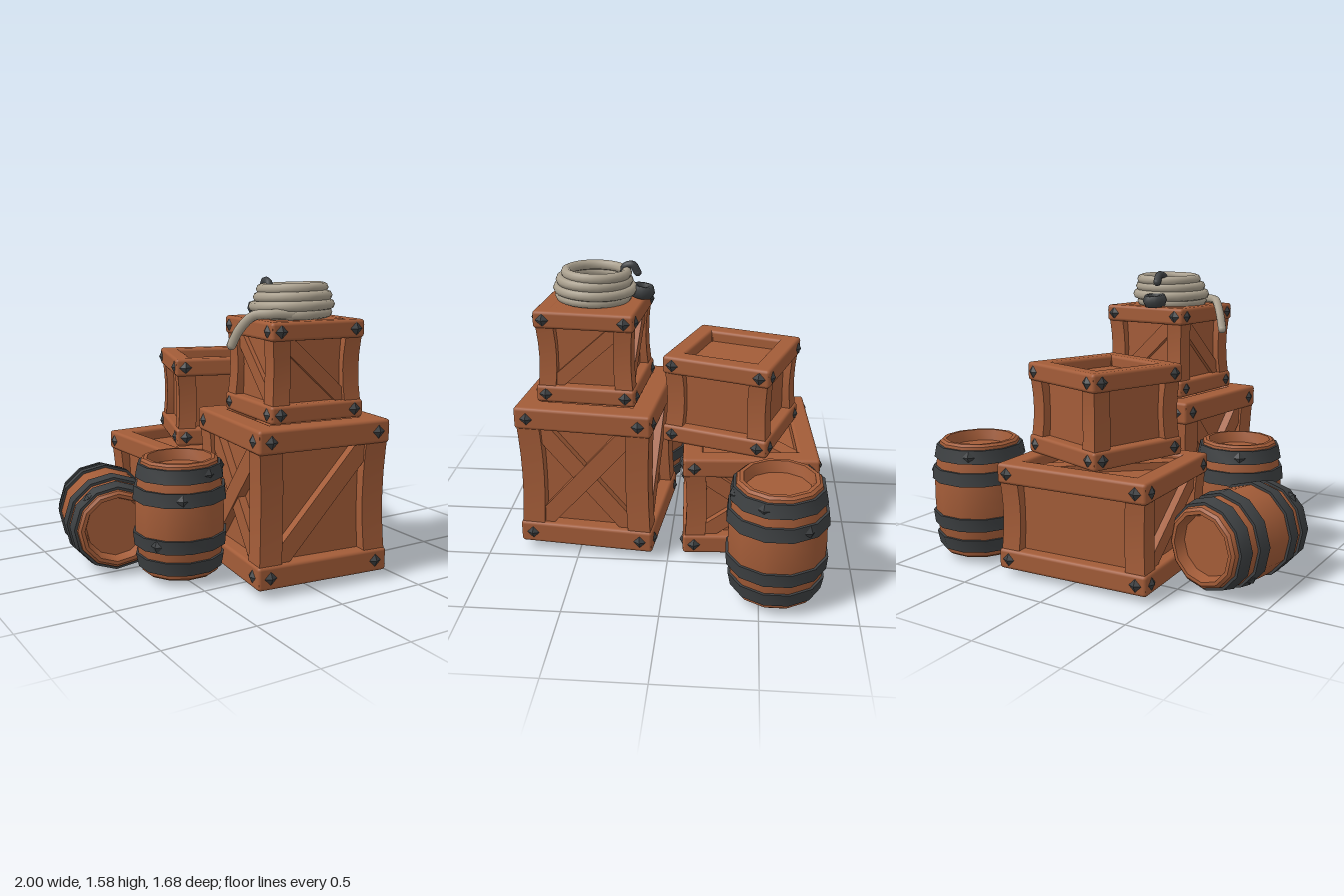
import * as THREE from 'three';
import { toCreasedNormals } from 'three/addons/utils/BufferGeometryUtils.js';
import { RoundedBoxGeometry } from 'three/addons/geometries/RoundedBoxGeometry.js';

function material(name, color) {
  const m = new THREE.MeshStandardMaterial({ color });
  m.name = name;
  return m;
}

export function createModel() {
  const wood = material('wood', 0xa35c38);
  const iron = material('iron', 0x3d4042);
  const hemp = material('hemp', 0xaaa08e);
  const shade = material('coilFloor', 0xa07c60);
  const model = new THREE.Group();
  model.name = 'cargoPile';

  function add(parent, name, geometry, mat, x = 0, y = 0, z = 0) {
    const mesh = new THREE.Mesh(geometry, mat);
    mesh.name = name;
    mesh.position.set(x, y, z);
    parent.add(mesh);
    return mesh;
  }

  // Flat diamond stud whose point faces local +z
  const studGeometry = new THREE.OctahedronGeometry(0.035).scale(1, 1, 0.5);

  // Corner post, drawn in towards the crate at mid height
  function postGeometry(f, h, sx, sz) {
    const g = new THREE.BoxGeometry(f, h, f, 1, 6, 1);
    const p = g.attributes.position;
    for (let i = 0; i < p.count; i++) {
      const t = p.getY(i) / (h / 2);
      const pinch = 0.004 + 0.018 * (1 - t * t);
      p.setX(i, p.getX(i) - sx * pinch);
      p.setZ(i, p.getZ(i) - sz * pinch);
    }
    return toCreasedNormals(g, 0.6);
  }

  // braces: one entry each for front, right, back, left, top, bottom
  function crate(name, [w, h, d], [x, y, z], turn, f, braces) {
    const g = new THREE.Group();
    g.name = name;
    g.position.set(x, y + h / 2, z);
    g.rotation.y = turn;
    model.add(g);
    const recess = f * 0.62;
    add(g, 'panels', new THREE.BoxGeometry(w - 2 * recess, h - 2 * recess, d - 2 * recess), wood);
    for (const s of [-1, 1]) {
      for (const t of [-1, 1]) {
        add(g, 'widthRail', new RoundedBoxGeometry(w, f, f, 2, 0.018), wood, 0, s * (h - f) / 2, t * (d - f) / 2);
        add(g, 'depthRail', new RoundedBoxGeometry(f, f, d - 0.01, 2, 0.018), wood, s * (w - f) / 2, t * (h - f) / 2, 0);
        add(g, 'cornerPost', postGeometry(f, h - 0.06, s, t), wood, s * (w - f) / 2, 0, t * (d - f) / 2);
      }
    }
    const faces = [
      [w, h, d, 0, 0], [d, h, w, 0, Math.PI / 2], [w, h, d, 0, Math.PI],
      [d, h, w, 0, -Math.PI / 2], [w, d, h, -Math.PI / 2, 0], [w, d, h, Math.PI / 2, 0],
    ];
    faces.forEach(([fw, fh, depth, rx, ry], i) => {
      const face = new THREE.Group();
      face.name = 'crateFace';
      face.rotation.set(rx, ry, 0);
      g.add(face);
      // Diagonal braces inside the frame
      const ow = fw - 2 * f, oh = fh - 2 * f;
      for (const mark of braces[i]) {
        const brace = add(face, 'brace', new THREE.BoxGeometry(Math.hypot(ow, oh), f * 0.8, recess - 0.02),
          wood, 0, 0, depth / 2 - recess / 2 - (mark === '/' ? 0.018 : 0.026));
        brace.rotation.z = Math.atan2(oh, ow) * (mark === '/' ? 1 : -1);
      }
      // Studs on the four upright faces
      if (i < 4) {
        for (const sx of [-1, 1]) for (const sy of [-1, 1]) {
          add(face, 'stud', studGeometry, iron, sx * (fw / 2 - f * 0.56), sy * (fh / 2 - f * 0.5), depth / 2);
        }
      }
    });
    return g;
  }

  crate('frontCrate', [0.76, 0.82, 0.75], [0.08, 0.05, 0.42], -0.1, 0.125, ['/', '\\/', '/', '/\\', '', '/']);
  crate('backCrate', [0.89, 0.58, 0.73], [0, 0.04, -0.42], 0.06, 0.11, ['', '/\\', '', '/', '/', '/']);
  crate('upperBackCrate', [0.592, 0.5, 0.6], [0.055, 0.62, -0.33], -0.32, 0.1, ['', '', '', '', '', '']);
  const top = crate('upperFrontCrate', [0.54, 0.51, 0.54], [0.085, 0.87, 0.425], -0.09, 0.095, ['\\', '/', '/', '\\', '', '']);
  // Flush lid under the rope
  add(top, 'lid', new THREE.BoxGeometry(0.4, 0.08, 0.4), wood, 0, 0.214, 0);

  // Barrel standing on its local origin, with four hoops
  function barrel(name, R, h) {
    const g = new THREE.Group();
    g.name = name;
    model.add(g);
    const end = R * 0.84;
    const radius = (y) => end + (R - end) * (1 - (2 * y / h - 1) ** 2);
    const lathe = (pts) => toCreasedNormals(
      new THREE.LatheGeometry(pts.map(([x, y]) => new THREE.Vector2(x, y)), 12, Math.PI / 12), 0.65);
    const profile = [[0, 0.06], [end * 0.77, 0.06], [end * 0.85, 0], [end - 0.012, 0]];
    for (let i = 0; i <= 8; i++) {
      const y = 0.012 + (h - 0.024) * i / 8;
      profile.push([radius(y), y]);
    }
    profile.push([end - 0.012, h], [end * 0.85, h], [end * 0.77, h - 0.06], [0, h - 0.06]);
    add(g, 'staves', lathe(profile), wood);
    const hoops = [0.115, 0.31, 0.71, 0.9];
    for (const k of hoops) {
      const a = h * k - 0.036, b = h * k + 0.036;
      add(g, 'hoop', lathe([[radius(a) - 0.02, a], [radius(a) + 0.014, a], [radius(b) + 0.014, b],
        [radius(b) - 0.02, b], [radius(a) - 0.02, a]]), iron);
    }
    // A few studs: hoop number and angle
    for (const [n, angle] of [[3, 0.27], [3, 1.25], [2, -0.41], [2, 2.2], [1, -1], [3, 3.6]]) {
      const r = radius(h * hoops[n]) + 0.006;
      const stud = add(g, 'hoopStud', studGeometry, iron, Math.sin(angle) * r, h * hoops[n], Math.cos(angle) * r);
      stud.rotation.y = angle;
    }
    return g;
  }

  barrel('rightBarrel', 0.258, 0.64).position.set(0.733, 0.04, -0.583);
  barrel('leftBarrel', 0.243, 0.62).position.set(-0.49, 0.04, 0.217);
  const lying = barrel('lyingBarrel', 0.247, 0.63);
  const axis = new THREE.Vector3(-0.22, 0, 0.975).normalize();
  lying.quaternion.setFromUnitVectors(new THREE.Vector3(0, 1, 0), axis);
  lying.position.set(-0.718, 0.265, -0.23).addScaledVector(axis, -0.315);

  // Rope coil: touching stacked loops and a tail hanging over the edge
  const rope = new THREE.Group();
  rope.name = 'ropeCoil';
  model.add(rope);
  const loops = [[0.075, 1.402, 0.43, 0.18], [0.075, 1.443, 0.42, 0.199], [0.08, 1.489, 0.422, 0.18], [0.085, 1.53, 0.41, 0.162]];
  for (const [x, y, z, r] of loops) {
    const loop = add(rope, 'ropeLoop', new THREE.TorusGeometry(r, 0.028, 8, 28), hemp, x, y, z);
    loop.rotation.set(Math.PI / 2 - 0.03, 0.02, 0);
  }
  function strand(name, points, r, mat) {
    const curve = new THREE.CatmullRomCurve3(points.map((p) => new THREE.Vector3(...p)));
    add(rope, name, new THREE.TubeGeometry(curve, 20, r, 8), mat);
    for (const p of [points[0], points[points.length - 1]]) {
      add(rope, name + 'End', new THREE.SphereGeometry(r, 8, 6), mat, ...p);
    }
  }
  strand('ropeTail', [[-0.03, 1.41, 0.58], [-0.14, 1.41, 0.54], [-0.2, 1.4, 0.48], [-0.25, 1.33, 0.43], [-0.28, 1.25, 0.4]], 0.025, hemp);
  add(rope, 'coilFloor', new THREE.CylinderGeometry(0.165, 0.165, 0.008, 24), shade, 0.078, 1.388, 0.425);

  // Iron clasp over the top loop and a thick eye lying behind the coil
  strand('clasp', [[0.03, 1.515, 0.27], [0.035, 1.55, 0.26], [0.04, 1.56, 0.22], [0.04, 1.52, 0.195]], 0.022, iron);
  const eye = add(rope, 'ironEye', new THREE.TorusGeometry(0.046, 0.023, 6, 12), iron, 0.04, 1.418, 0.17);
  eye.rotation.x = Math.PI / 2 - 0.15;
  eye.scale.z = 1.6;

  return model;
}
